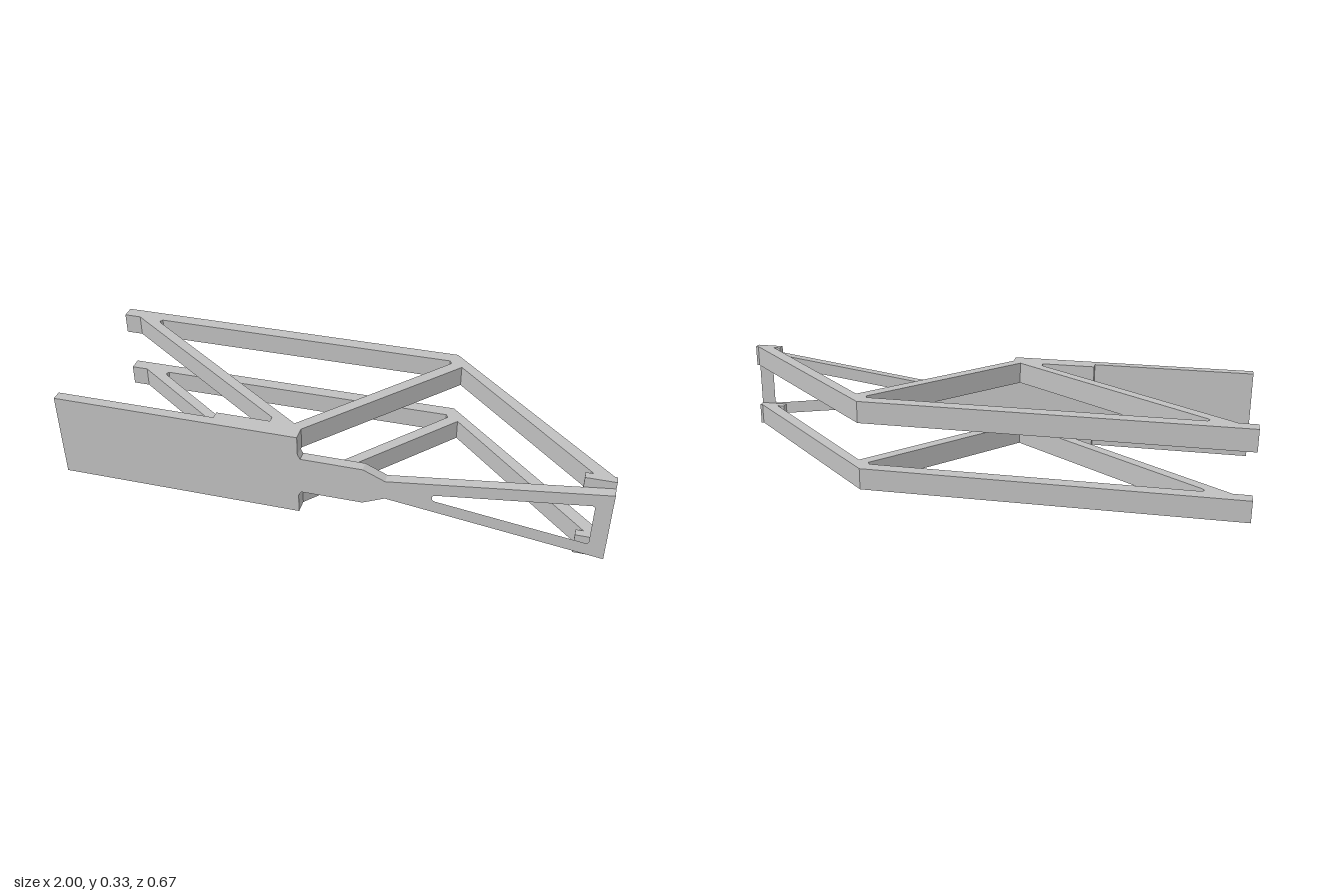
import * as THREE from 'three';

// Flat slab cut from an outline, with optional holes
function slab(outline, holes, depth) {
  const points = list => list.map(([a, b]) => new THREE.Vector2(a, b));
  const shape = new THREE.Shape(points(outline));
  for (const hole of holes) shape.holes.push(new THREE.Path(points(hole)));
  return new THREE.ExtrudeGeometry(shape, { depth, bevelEnabled: false });
}

export function createModel() {
  const model = new THREE.Group();
  const grey = new THREE.MeshStandardMaterial({ color: 0xc0c0c0 });
  grey.name = 'plain grey';

  const height = 0.333, mid = height / 2;
  const frameHeight = 0.08;
  const front = 0.333, plateBack = 0.295;

  // Front plate: broad panel, narrow neck and forked arm with a window.
  // The upper edge is listed as [x, half height] and mirrored below.
  const edge = [
    [-1, mid], [-0.08, mid], [-0.08, 0.092], [-0.07, 0.074],
    [0.155, 0.074], [0.235, 0.038], [1, 0.14],
  ];
  const mirrored = half => [
    ...half.map(([x, h]) => [x, mid + h]),
    ...half.slice().reverse().map(([x, h]) => [x, mid - h]),
  ];
  const windowEdge = [[0.402, 0.008], [0.41, 0.013], [0.935, 0.083], [0.943, 0.077]];
  const plate = new THREE.Mesh(
    slab(mirrored(edge), [mirrored(windowEdge)], front - plateBack), grey);
  plate.position.z = plateBack;
  plate.name = 'frontPlate';
  model.add(plate);

  // Truss outline in plan, as [x, z]
  const truss = [
    [-1, -0.333], [0.365, -0.333],              // rear rail
    [0.99, 0.267], [1, 0.267], [1, plateBack],  // outer strut and end foot
    [0.895, plateBack], [0.895, 0.267], [0.922, 0.267],
    [0.394, -0.25],                             // inside of the outer strut
    [-0.08, 0.281], [-0.08, plateBack],         // centre strut
    [-0.4, plateBack], [-0.4, 0.264], [-0.2, 0.264], [-0.2, 0.24], // foot pad
    [-0.935, -0.283], [-1, -0.283],             // long brace
  ];
  const opening = [
    [-0.835, -0.283], [0.343, -0.283], [0.352, -0.268],
    [-0.112, 0.255], [-0.836, -0.262], [-0.843, -0.272],
  ];
  const trussGeometry = slab(truss, [opening], frameHeight);
  trussGeometry.rotateX(Math.PI / 2);

  // Matching lower and upper trusses
  for (const [name, top] of [['lowerTruss', frameHeight], ['upperTruss', height]]) {
    const mesh = new THREE.Mesh(trussGeometry, grey);
    mesh.position.y = top;
    mesh.name = name;
    model.add(mesh);
  }

  return model;
}
